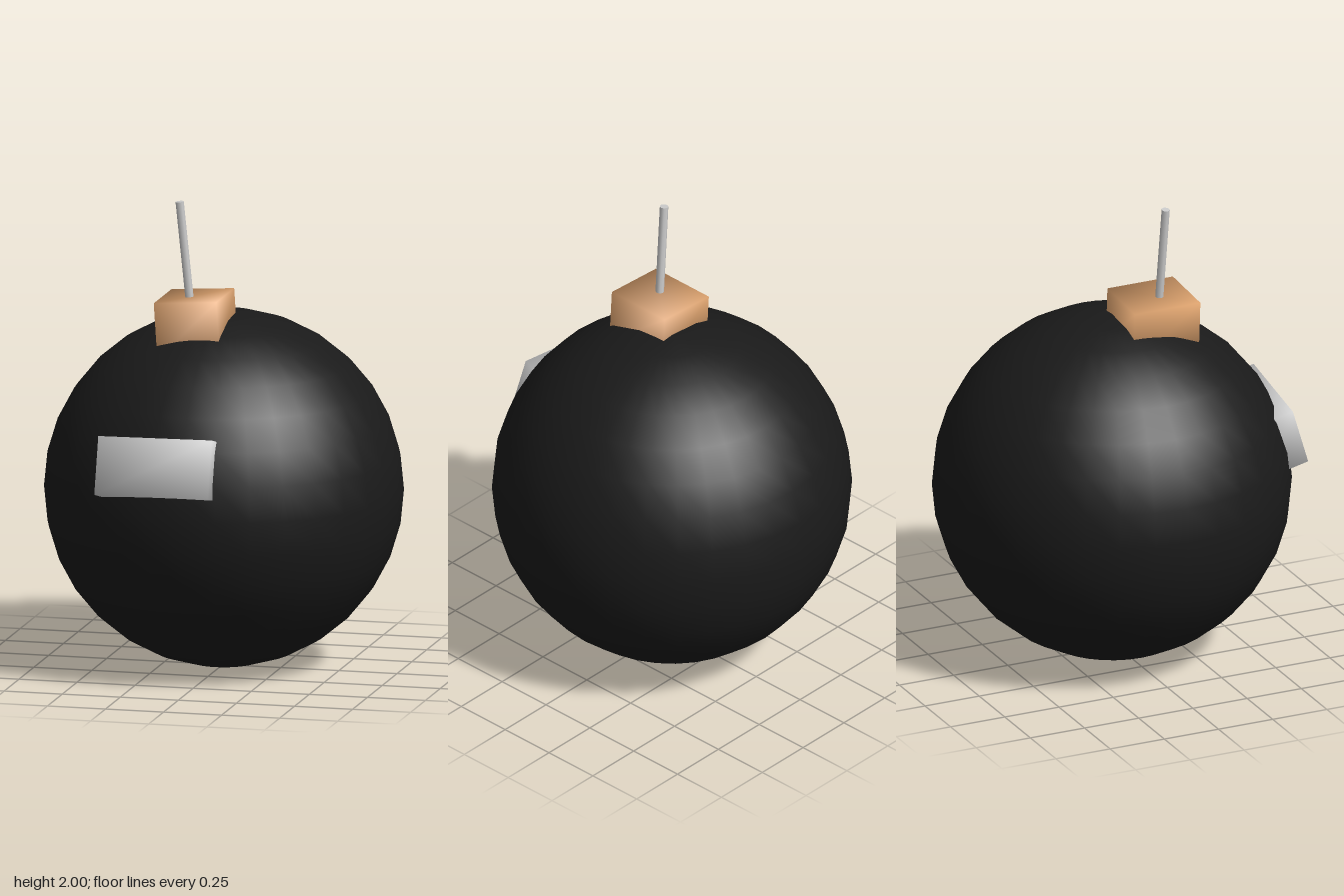
import * as THREE from 'three';

// Box with rounded shading: every corner normal points away from the centre
function smoothBox(w, h, d) {
  const geo = new THREE.BoxGeometry(w, h, d);
  const p = geo.attributes.position, n = geo.attributes.normal;
  const v = new THREE.Vector3();
  for (let i = 0; i < p.count; i++) {
    v.set(Math.sign(p.getX(i)), Math.sign(p.getY(i)), Math.sign(p.getZ(i))).normalize();
    n.setXYZ(i, v.x, v.y, v.z);
  }
  return geo;
}

export function createModel() {
  const model = new THREE.Group();
  const add = (name, geo, color) => {
    const mesh = new THREE.Mesh(geo, new THREE.MeshStandardMaterial({ color }));
    mesh.name = name;
    model.add(mesh);
    return mesh;
  };

  // Round body
  add('body', new THREE.SphereGeometry(0.752, 32, 16), 0x1a1a1a).position.set(0, 0.752, -0.02);

  // Tilted cap block, sunk into the body
  const cap = add('cap', smoothBox(0.27, 0.24, 0.302), 0xe0a570);
  cap.position.set(-0.083, 1.474, 0.131);
  cap.rotation.z = 0.065;

  // Fuse rod leaning out of the cap
  const start = new THREE.Vector3(-0.1, 1.53, 0.147);
  const end = new THREE.Vector3(-0.145, 1.998, 0.16);
  const along = end.clone().sub(start);
  const fuse = add('fuse', new THREE.CylinderGeometry(0.018, 0.018, along.length(), 8), 0xcccccc);
  fuse.position.copy(start).add(end).multiplyScalar(0.5);
  fuse.quaternion.setFromUnitVectors(new THREE.Vector3(0, 1, 0), along.normalize());

  // Front plate, leaning back with the curve of the body
  const depth = 0.18;
  const x = new THREE.Vector3(0.5, 0.018, 0.055).normalize();
  const z = x.clone().cross(new THREE.Vector3(0, 0.235, -0.07)).normalize();
  const y = z.clone().cross(x);
  const plate = add('frontPlate', smoothBox(0.505, 0.247, depth), 0xcccccc);
  plate.quaternion.setFromRotationMatrix(new THREE.Matrix4().makeBasis(x, y, z));
  plate.position.set(-0.122, 0.975, 0.702).addScaledVector(z, -depth / 2);

  return model;
}
